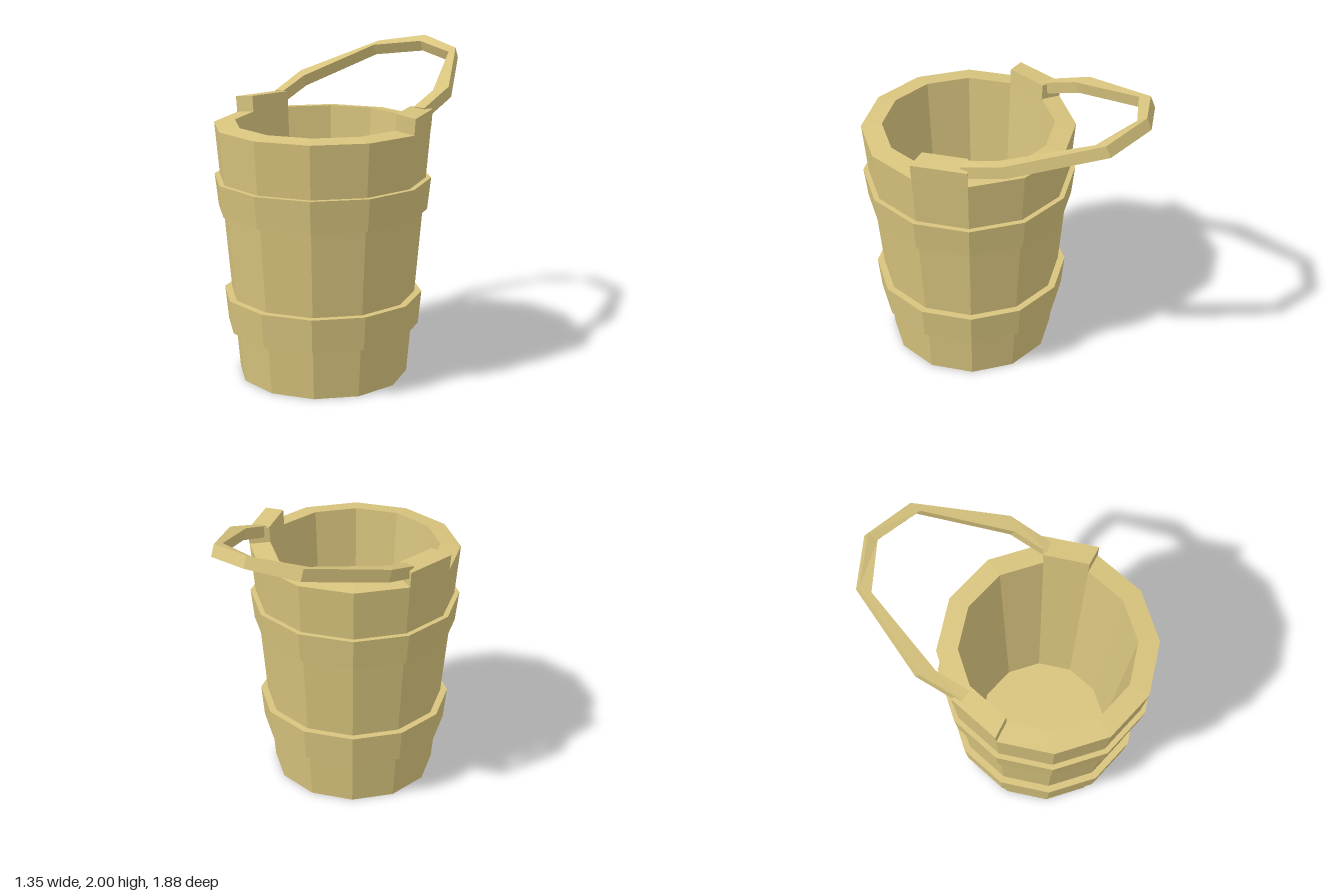
import * as THREE from 'three';

const SIDES = 12;
const CENTRE_Z = 0.27;

// Flat-sided solid through a list of four-cornered sections, capped at both ends
function sweep(sections) {
  const pos = [];
  const quad = (a, b, c, d) => pos.push(...a, ...b, ...c, ...a, ...c, ...d);
  for (let i = 0; i < sections.length - 1; i++) {
    const s = sections[i], t = sections[i + 1];
    for (let j = 0; j < 4; j++) {
      const k = (j + 1) % 4;
      quad(s[j], s[k], t[k], t[j]);
    }
  }
  const first = sections[0], last = sections[sections.length - 1];
  quad(first[3], first[2], first[1], first[0]);
  quad(...last);
  const geo = new THREE.BufferGeometry();
  geo.setAttribute('position', new THREE.Float32BufferAttribute(pos, 3));
  geo.computeVertexNormals();
  return geo;
}

// Twelve-sided turned solid from [radius, height] pairs
function turned(profile) {
  return new THREE.LatheGeometry(profile.map(([r, y]) => new THREE.Vector2(r, y)), SIDES);
}

export function createModel() {
  const group = new THREE.Group();
  const wood = new THREE.MeshStandardMaterial({ color: 0xd8c47e, flatShading: true });
  const add = (name, geo, z = 0) => {
    const mesh = new THREE.Mesh(geo, wood);
    mesh.name = name;
    mesh.position.z = z;
    group.add(mesh);
  };

  // Hollow tapered tub with a thick rim
  add('tub', turned([
    [0, 0], [0.53, 0], [0.665, 1.585], [0.535, 1.6], [0.43, 0.1], [0, 0.1],
  ]), CENTRE_Z);

  // Hoops
  add('lowerHoop', turned([[0.54, 0.32], [0.6, 0.32], [0.62, 0.53], [0.56, 0.53]]), CENTRE_Z);
  add('upperHoop', turned([[0.6, 1.06], [0.648, 1.06], [0.67, 1.26], [0.62, 1.26]]), CENTRE_Z);

  // Ears: one rim stave on each side raised above the rest
  const earProfile = [[0.532, 1.57], [0.54, 1.7], [0.674, 1.685], [0.666, 1.58]];
  for (const [name, start] of [['leftEar', 90], ['rightEar', 240]]) {
    const sections = [start, start + 30].map((deg) => {
      const a = THREE.MathUtils.degToRad(deg);
      return earProfile.map(([r, y]) => [r * Math.sin(a), y, r * Math.cos(a)]);
    });
    add(name, sweep(sections), CENTRE_Z);
  }

  // Handle leaning back: inner and outer top edges of the left half, then mirrored
  const half = [
    [[0.495, 1.7, 0.01], [0.565, 1.697, 0.0]],
    [[0.495, 1.77, -0.21], [0.568, 1.79, -0.275]],
    [[0.292, 1.93, -0.73], [0.303, 1.95, -0.8]],
    [[0, 1.965, -0.85], [0, 2.0, -0.91]],
  ];
  const flip = (p) => [-p[0], p[1], p[2]];
  const edges = [...half, ...half.slice(0, -1).reverse().map((e) => e.map(flip))];
  const below = ([x, y, z]) => [x, y - 0.068, z - 0.032];
  add('handle', sweep(edges.map(([inner, outer]) => [below(inner), inner, outer, below(outer)])));

  return group;
}
